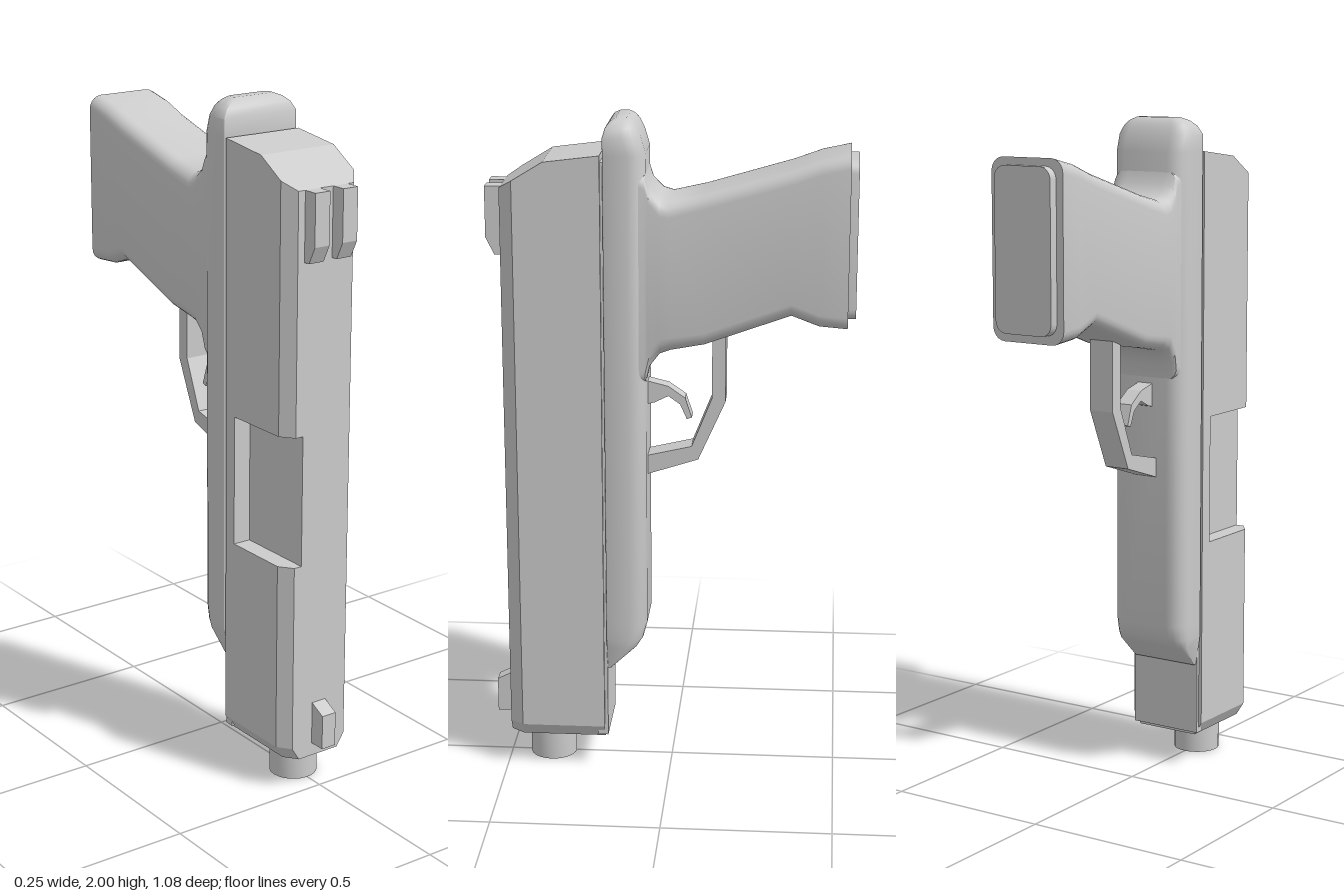
import * as THREE from 'three';
import { toCreasedNormals } from 'three/addons/utils/BufferGeometryUtils.js';

const material = new THREE.MeshStandardMaterial({ color: 0xcccccc });

function add(group, name, geometry) {
  const mesh = new THREE.Mesh(geometry, material);
  mesh.name = name;
  group.add(mesh);
  return mesh;
}

// Skin a stack of rings; each ring runs front to back on +x, then back to front on -x.
function loft(rings, crease) {
  const n = rings[0].length;
  const index = [];
  for (let r = 0; r < rings.length - 1; r++) {
    for (let i = 0; i < n; i++) {
      const a = r * n + i, b = r * n + (i + 1) % n;
      index.push(a, b, b + n, a, b + n, a + n);
    }
  }
  const top = (rings.length - 1) * n;
  for (let i = 0; i < n / 2 - 1; i++) {
    const [a, b, c, d] = [i, i + 1, n - 2 - i, n - 1 - i];
    index.push(a, c, b, a, d, c);
    index.push(top + a, top + b, top + c, top + a, top + c, top + d);
  }
  const geometry = new THREE.BufferGeometry();
  geometry.setAttribute('position', new THREE.Float32BufferAttribute(rings.flat(2), 3));
  geometry.setIndex(index);
  return toCreasedNormals(geometry, crease);
}

// Rounded rectangle ring at height y, with separate front and back corner radii.
function roundedRing([y, back, front, half, backRadius, frontRadius]) {
  const right = [];
  const steps = 5;
  for (let i = 0; i <= steps; i++) {
    const t = (i / steps) * Math.PI / 2;
    right.push([half - frontRadius * (1 - Math.sin(t)), y, front - frontRadius * (1 - Math.cos(t))]);
  }
  for (let i = 0; i <= steps; i++) {
    const t = (i / steps) * Math.PI / 2;
    right.push([half - backRadius * (1 - Math.cos(t)), y, back + backRadius * (1 - Math.sin(t))]);
  }
  return [...right, ...right.map(([x, py, z]) => [-x, py, z]).reverse()];
}

// Side profile given as [z, y], extruded across x and centred on x.
function sideProfile(points, width, x = 0) {
  const shape = new THREE.Shape(points.map(([z, y]) => new THREE.Vector2(-z, y)));
  const geometry = new THREE.ExtrudeGeometry(shape, { depth: width, bevelEnabled: false });
  return geometry.translate(0, 0, -width / 2).rotateY(Math.PI / 2).translate(x, 0, 0);
}

// Chamfered slide ring; rear gives the height of each point, notch cuts the -x side.
function slideRing(y, { inset = 0, notch = false, rear = null } = {}) {
  const half = [[0.095, 0.49], [0.125, 0.45], [0.125, 0.36], [0.125, 0.24], [0.125, 0.24], [0.125, 0.198]];
  const right = half.map(([x, z], i) => [x - inset, rear ? rear[i] : y, z]);
  const left = right.map(([x, py, z], i) => [notch && i < 4 ? -0.07 : -x, py, z]).reverse();
  return [...right, ...left];
}

export function createModel() {
  const model = new THREE.Group();
  model.name = 'pistol';

  // Slide with tapered muzzle end, side opening and sloping rear
  add(model, 'slide', loft([
    slideRing(0.1, { inset: 0.025 }),
    slideRing(0.14),
    slideRing(0.71),
    slideRing(0.71, { notch: true }),
    slideRing(1.1, { notch: true }),
    slideRing(1.1),
    slideRing(1.8, { rear: [1.8, 1.825, 1.88, 1.895, 1.895, 1.9] }),
  ], 0.15));

  // Narrow rail between slide and frame
  const rail = add(model, 'rail', new THREE.BoxGeometry(0.23, 1.77, 0.03));
  rail.position.set(0, 0.995, 0.203);

  // Frame with rounded underside, running up into the tang
  add(model, 'frame', loft([
    [0.33, 0.178, 0.19, 0.11, 0.005, 0.003],
    [0.40, 0.10, 0.19, 0.122, 0.03, 0.003],
    [0.425, 0.082, 0.19, 0.125, 0.045, 0.003],
    [0.47, 0.07, 0.19, 0.125, 0.05, 0.003],
    [1.22, 0.07, 0.19, 0.125, 0.05, 0.003],
    [1.90, 0.07, 0.19, 0.125, 0.05, 0.003],
    [1.95, 0.085, 0.19, 0.125, 0.05, 0.003],
    [1.975, 0.097, 0.183, 0.112, 0.04, 0.008],
    [1.99, 0.108, 0.172, 0.095, 0.03, 0.012],
    [2.00, 0.122, 0.155, 0.07, 0.015, 0.01],
  ].map(roundedRing), 0.7));

  // Grip: sections listed from the frame outwards as [-z, low y, high y, half width, radii]
  add(model, 'grip', loft([
    [-0.12, 1.20, 1.88, 0.118, 0.05, 0.05],
    [-0.072, 1.225, 1.85, 0.112, 0.05, 0.05],
    [-0.06, 1.275, 1.81, 0.115, 0.05, 0.05],
    [-0.03, 1.315, 1.778, 0.12, 0.05, 0.05],
    [0.0, 1.327, 1.768, 0.12, 0.045, 0.045],
    [0.1, 1.347, 1.79, 0.12, 0.04, 0.04],
    [0.35, 1.437, 1.863, 0.12, 0.04, 0.04],
    [0.43, 1.407, 1.892, 0.121, 0.04, 0.04],
    [0.512, 1.40, 1.91, 0.121, 0.04, 0.04],
  ].map(roundedRing), 0.6).rotateX(-Math.PI / 2));

  // Plate closing the grip
  add(model, 'basePlate', loft([
    [0.50, 1.425, 1.888, 0.1, 0.035, 0.035],
    [0.535, 1.425, 1.888, 0.095, 0.035, 0.035],
  ].map(roundedRing), 0.6).rotateX(-Math.PI / 2));

  // Trigger and its guard
  add(model, 'triggerGuard', sideProfile([
    [0.09, 0.925], [-0.08, 0.98], [-0.16, 1.16], [-0.16, 1.39],
    [-0.12, 1.38], [-0.12, 1.17], [-0.06, 1.02], [0.09, 0.985],
  ], 0.08));
  add(model, 'trigger', sideProfile([
    [0.09, 1.14], [0.05, 1.15], [0.01, 1.17], [-0.025, 1.145], [-0.045, 1.1],
    [-0.06, 1.105], [-0.04, 1.165], [0.01, 1.2], [0.09, 1.22],
  ], 0.05));

  // Sights
  for (const side of [-1, 1]) {
    add(model, side > 0 ? 'rearSightLeft' : 'rearSightRight', sideProfile([
      [0.48, 1.6], [0.51, 1.6], [0.535, 1.65], [0.535, 1.8], [0.48, 1.8],
    ], 0.05, side * 0.0475));
  }
  add(model, 'frontSight', sideProfile([
    [0.47, 0.14], [0.54, 0.14], [0.54, 0.245], [0.49, 0.27], [0.47, 0.27],
  ], 0.048));

  // Hollow barrel end
  const barrel = [[0, 0.16], [0.053, 0.16], [0.053, 0], [0.071, 0], [0.071, 0.12]];
  const tube = new THREE.LatheGeometry(barrel.map(([r, y]) => new THREE.Vector2(r, y)), 24);
  add(model, 'barrel', toCreasedNormals(tube, 0.6)).position.z = 0.37;
  model.getObjectByName('barrel').material = new THREE.MeshStandardMaterial({
    color: 0xcccccc, side: THREE.DoubleSide,
  });

  return model;
}
